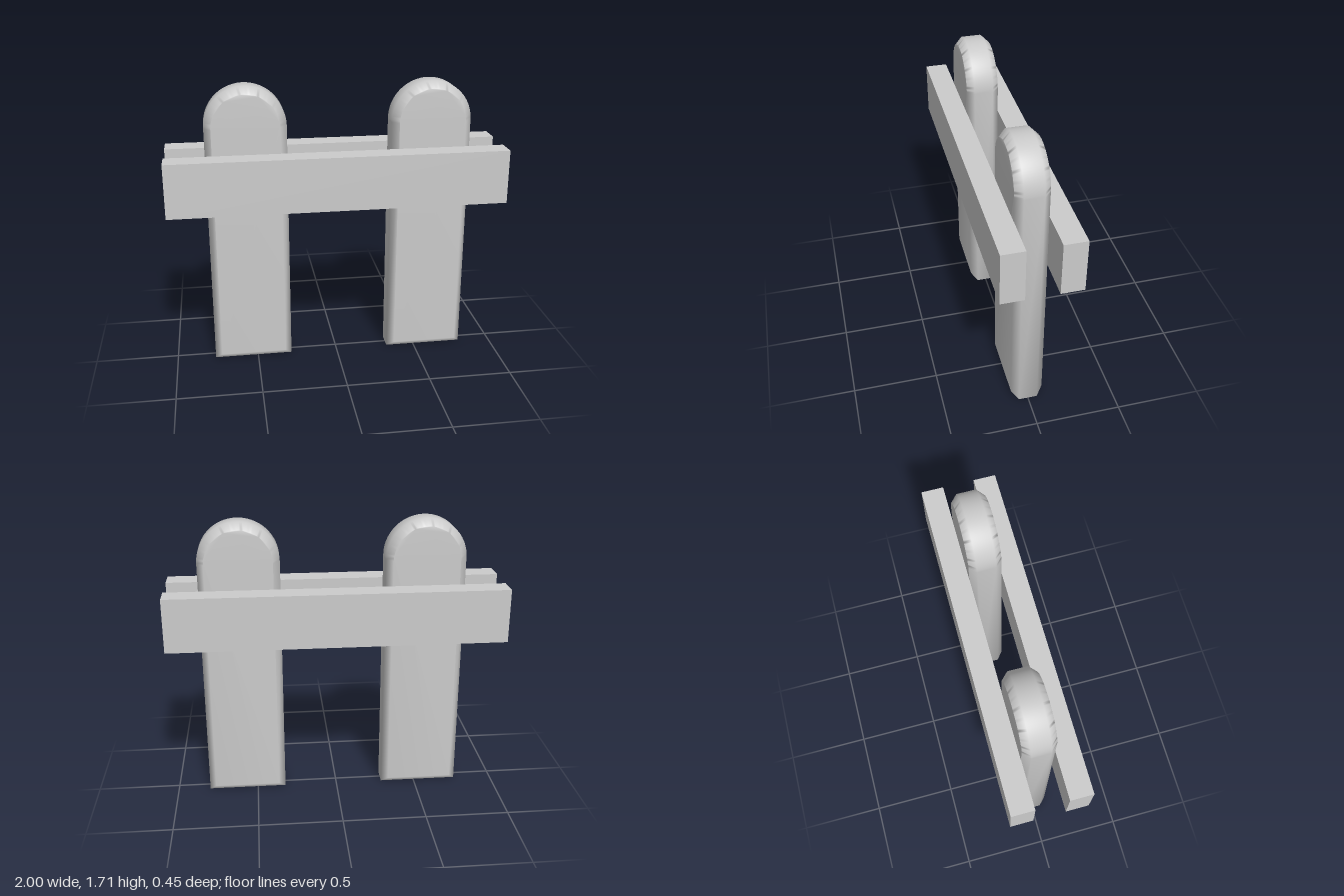
import * as THREE from 'three';
import { mergeVertices } from 'three/addons/utils/BufferGeometryUtils.js';

const POST = { width: 0.476, height: 1.713, depth: 0.19, bevel: 0.04 };
const RAIL = { length: 2, height: 0.322, depth: 0.133, y: 1, z: 0.1605 };

// Round-topped plank with chamfered, softly shaded edges
function postGeometry() {
  const { width, height, depth, bevel } = POST;
  const r = width / 2;
  const shape = new THREE.Shape();
  shape.moveTo(-r, 0);
  shape.lineTo(r, 0);
  shape.lineTo(r, height - r);
  shape.absarc(0, height - r, r, 0, Math.PI, false);
  shape.closePath();
  const extruded = new THREE.ExtrudeGeometry(shape, {
    depth: depth - 2 * bevel, curveSegments: 24,
    bevelEnabled: true, bevelSegments: 1,
    bevelSize: bevel, bevelThickness: bevel, bevelOffset: -bevel,
  });
  extruded.translate(0, 0, bevel - depth / 2);
  // Weld the corners so the shading blends over the chamfer
  extruded.deleteAttribute('normal');
  extruded.deleteAttribute('uv');
  const geometry = mergeVertices(extruded, 1e-4);
  geometry.computeVertexNormals();
  return geometry;
}

export function createModel() {
  const group = new THREE.Group();
  group.name = 'fence';
  const material = new THREE.MeshStandardMaterial({ color: 0xcccccc });

  const add = (name, geometry, x, y, z) => {
    const mesh = new THREE.Mesh(geometry, material);
    mesh.name = name;
    mesh.position.set(x, y, z);
    group.add(mesh);
  };

  // Two upright posts
  const post = postGeometry();
  add('rightPost', post, -0.527, 0, 0);
  add('leftPost', post, 0.564, 0, 0);

  // Rails clamping the posts front and back
  const rail = new THREE.BoxGeometry(RAIL.length, RAIL.height, RAIL.depth);
  add('frontRail', rail, 0, RAIL.y + RAIL.height / 2, RAIL.z);
  add('backRail', rail, 0, RAIL.y + RAIL.height / 2, -RAIL.z);

  return group;
}
